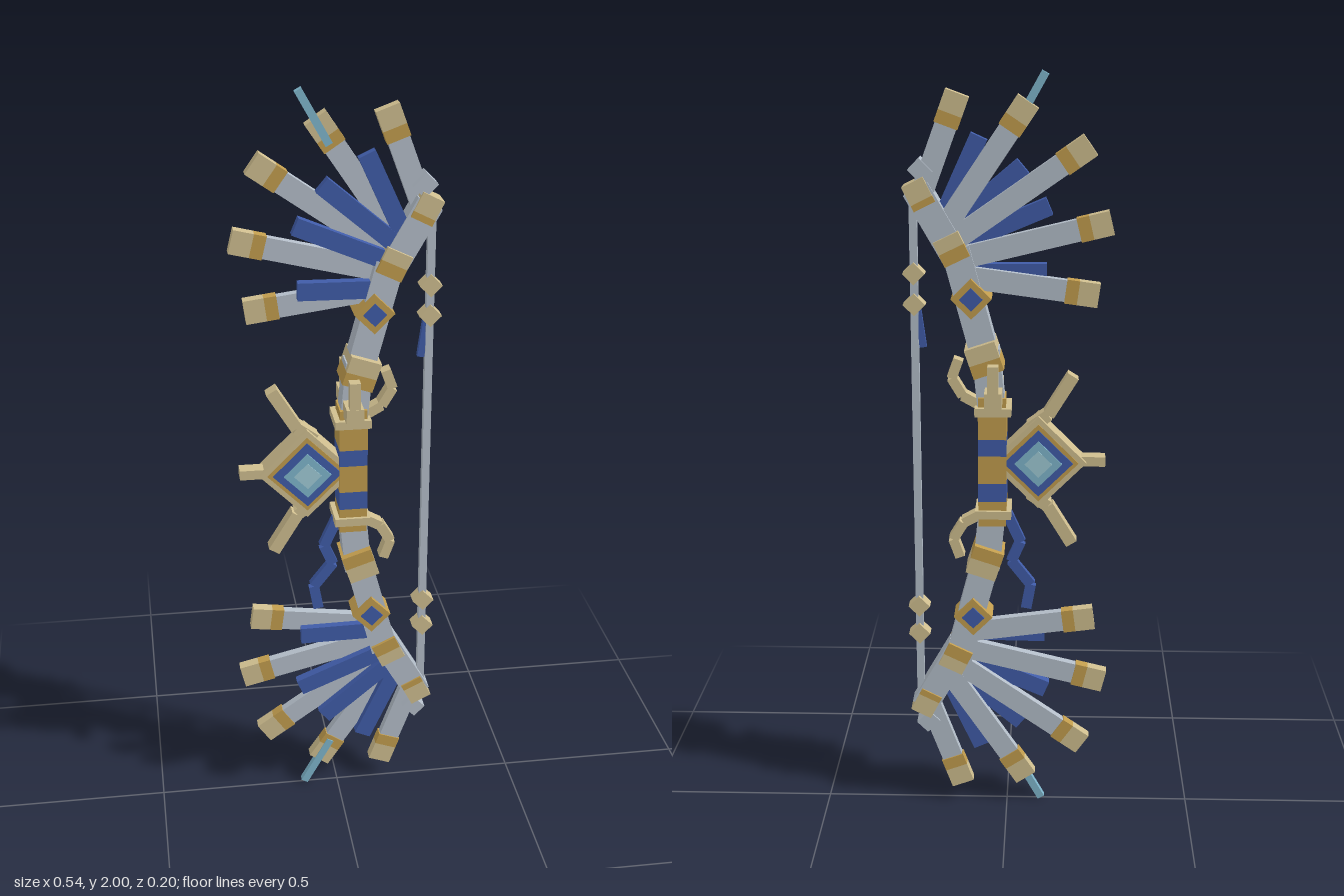
import * as THREE from 'three';

const mat = (name, hex) => {
  const m = new THREE.MeshStandardMaterial({ color: hex });
  m.name = name;
  return m;
};

export function createModel() {
  const steel = mat('silver steel', 0xb4bec9);
  const tan = mat('pale gold', 0xcfbe8f);
  const gold = mat('deep gold', 0xc29d4e);
  const blue = mat('royal blue', 0x405ca8);
  const sky = mat('sky blue', 0x7fb6cc);
  const pale = mat('ice blue', 0x9fcbd6);

  const bow = new THREE.Group();
  bow.name = 'ornateBow';

  const lerp = (a, b, t) => [a[0] + (b[0] - a[0]) * t, a[1] + (b[1] - a[1]) * t];

  // Box running from point a to point b in the xy plane, between two depths
  function bar(parent, name, material, a, b, width, z0, z1) {
    const dx = b[0] - a[0], dy = b[1] - a[1];
    const mesh = new THREE.Mesh(new THREE.BoxGeometry(Math.hypot(dx, dy), width, z1 - z0), material);
    mesh.position.set((a[0] + b[0]) / 2, (a[1] + b[1]) / 2, (z0 + z1) / 2);
    mesh.rotation.z = Math.atan2(dy, dx);
    mesh.name = name;
    parent.add(mesh);
    return mesh;
  }

  // Square standing on its corner
  function diamond(parent, name, material, [x, y], halfDiagonal, depth) {
    const k = halfDiagonal / 2;
    return bar(parent, name, material, [x - k, y - k], [x + k, y + k], halfDiagonal * Math.SQRT2, -depth, depth);
  }

  // Chain of bars through a list of points
  function chain(parent, name, material, pts, width, depth) {
    for (let i = 1; i < pts.length; i++) bar(parent, name, material, pts[i - 1], pts[i], width, -depth, depth);
  }

  // Two-tone block: pale at end a, deep gold at end b
  function capped(parent, name, a, b, split, width, z0, z1) {
    const m = lerp(a, b, split);
    bar(parent, name, tan, a, m, width, z0, z1);
    bar(parent, name + 'Inlay', gold, m, b, width, z0, z1);
  }

  // Silver feathers (tip, root) and blue feathers (tip, root) of the upper limb
  const feathers = [
    [[0.122, 1.945], [0.22, 1.68]],
    [[-0.053, 1.925], [0.165, 1.6]],
    [[-0.208, 1.82], [0.15, 1.57]],
    [[-0.264, 1.628], [0.14, 1.53]],
    [[-0.234, 1.442], [0.1, 1.487]],
  ];
  const blueFeathers = [
    [[0.07, 1.838], [0.165, 1.63]],
    [[-0.04, 1.765], [0.155, 1.6]],
    [[-0.107, 1.665], [0.13, 1.565]],
    [[-0.102, 1.497], [0.08, 1.495]],
  ];

  // Upper and lower limbs
  for (const side of [1, -1]) {
    const limb = new THREE.Group();
    limb.name = side > 0 ? 'upperLimb' : 'lowerLimb';
    const p = ([x, y]) => [x, 1 + side * (y - 1)];

    // Curved limb body
    bar(limb, 'limbBase', steel, p([0.037, 1.12]), p([0.055, 1.3]), 0.072, -0.03, 0.03);
    bar(limb, 'limbMiddle', steel, p([0.05, 1.26]), p([0.13, 1.56]), 0.072, -0.029, 0.029);
    bar(limb, 'limbEnd', steel, p([0.125, 1.53]), p([0.228, 1.71]), 0.07, -0.028, 0.028);

    // Tip fittings
    capped(limb, 'limbTip', p([0.236, 1.728]), p([0.205, 1.667]), 0.75, 0.06, -0.033, 0.033);
    bar(limb, 'tipBlock', steel, p([0.199, 1.738]), p([0.233, 1.772]), 0.042, -0.026, 0.026);

    // Feather fan
    feathers.forEach(([tip, root], i) => {
      const len = Math.hypot(tip[0] - root[0], tip[1] - root[1]);
      const capEnd = lerp(tip, root, 0.085 / len);
      const z = i * 0.0003;
      bar(limb, 'feather', steel, p(capEnd), p(root), 0.056, -0.021 + z, 0.003 + z);
      capped(limb, 'featherTip', p(tip), p(capEnd), 0.62, 0.062, -0.025, 0.006);
    });
    blueFeathers.forEach(([tip, root], i) =>
      bar(limb, 'blueFeather', blue, p(tip), p(root), 0.046, -0.002, 0.024 + i * 0.0003));
    bar(limb, 'crystalShard', sky, p([-0.095, 1.994]), p([-0.02, 1.86]), 0.02, -0.01, 0.009);

    // Joint bands
    capped(limb, 'lowerJoint', p([0.07, 1.315]), p([0.045, 1.24]), 0.55, 0.082, -0.05, 0.05);
    capped(limb, 'upperJoint', p([0.154, 1.592]), p([0.124, 1.53]), 0.5, 0.07, -0.038, 0.038);

    // Limb jewel
    diamond(limb, 'jewelMount', gold, p([0.09, 1.435]), 0.052, 0.043);
    diamond(limb, 'jewel', blue, p([0.09, 1.435]), 0.03, 0.048);

    // Curved claw behind the grip
    chain(limb, 'claw', tan,
      [[0.07, 1.15], [0.115, 1.175], [0.143, 1.222], [0.125, 1.272]].map(p), 0.026, 0.018);

    // String beads
    for (const y of [1.495, 1.415]) diamond(limb, 'stringBead', tan, p([0.237, y]), 0.029, 0.02);

    // Grip collar
    bar(limb, 'gripCollar', tan, p([-0.012, 1.14]), p([0.083, 1.14]), 0.022, -0.054, 0.054);
    bar(limb, 'gripShoulder', gold, p([0.002, 1.16]), p([0.074, 1.16]), 0.03, -0.04, 0.04);

    // Diagonal prong of the centre ornament
    chain(limb, 'ornamentProng', tan, [[-0.172, 1.23], [-0.108, 1.125], [-0.06, 1.09]].map(p), 0.032, 0.02);
    bow.add(limb);
  }

  // Banded grip
  const grip = new THREE.Group();
  grip.name = 'grip';
  const bands = [1.13, 1.065, 1.02, 0.945, 0.895, 0.87];
  for (let i = 1; i < bands.length; i++) {
    bar(grip, 'gripBand', i % 2 ? gold : blue, [0.0375, bands[i - 1]], [0.0375, bands[i]], 0.074, -0.045, 0.045);
  }
  bow.add(grip);

  // Upright front and back prongs above the grip
  for (const s of [1, -1]) {
    const span = (a, b) => [Math.min(s * a, s * b), Math.max(s * a, s * b)];
    bar(bow, 'sideProngBase', tan, [0.011, 1.182], [0.056, 1.182], 0.04, ...span(0.025, 0.098));
    bar(bow, 'sideProng', tan, [0.0335, 1.2], [0.0335, 1.273], 0.028, ...span(0.068, 0.097));
  }

  // Centre ornament
  const ornament = new THREE.Group();
  ornament.name = 'centreOrnament';
  const c = [-0.083, 1];
  diamond(ornament, 'ornamentFrame', tan, c, 0.125, 0.034);
  diamond(ornament, 'ornamentRim', gold, c, 0.105, 0.036);
  diamond(ornament, 'ornamentPanel', blue, c, 0.09, 0.041);
  diamond(ornament, 'ornamentGem', sky, c, 0.062, 0.046);
  diamond(ornament, 'gemHighlight', pale, c, 0.036, 0.048);
  bar(ornament, 'frontProng', tan, [-0.258, 1], [-0.18, 1], 0.026, -0.02, 0.02);
  bow.add(ornament);

  // Bow string
  bar(bow, 'bowString', steel, [0.237, 0.32], [0.237, 1.68], 0.02, -0.01, 0.01);

  // Ribbons
  chain(bow, 'gripRibbon', blue,
    [[0, 0.85], [-0.036, 0.77], [-0.012, 0.715], [-0.064, 0.648], [-0.052, 0.58]], 0.028, 0.01);
  bar(bow, 'stringRibbon', blue, [0.229, 1.4], [0.216, 1.302], 0.018, -0.008, 0.008);

  return bow;
}
